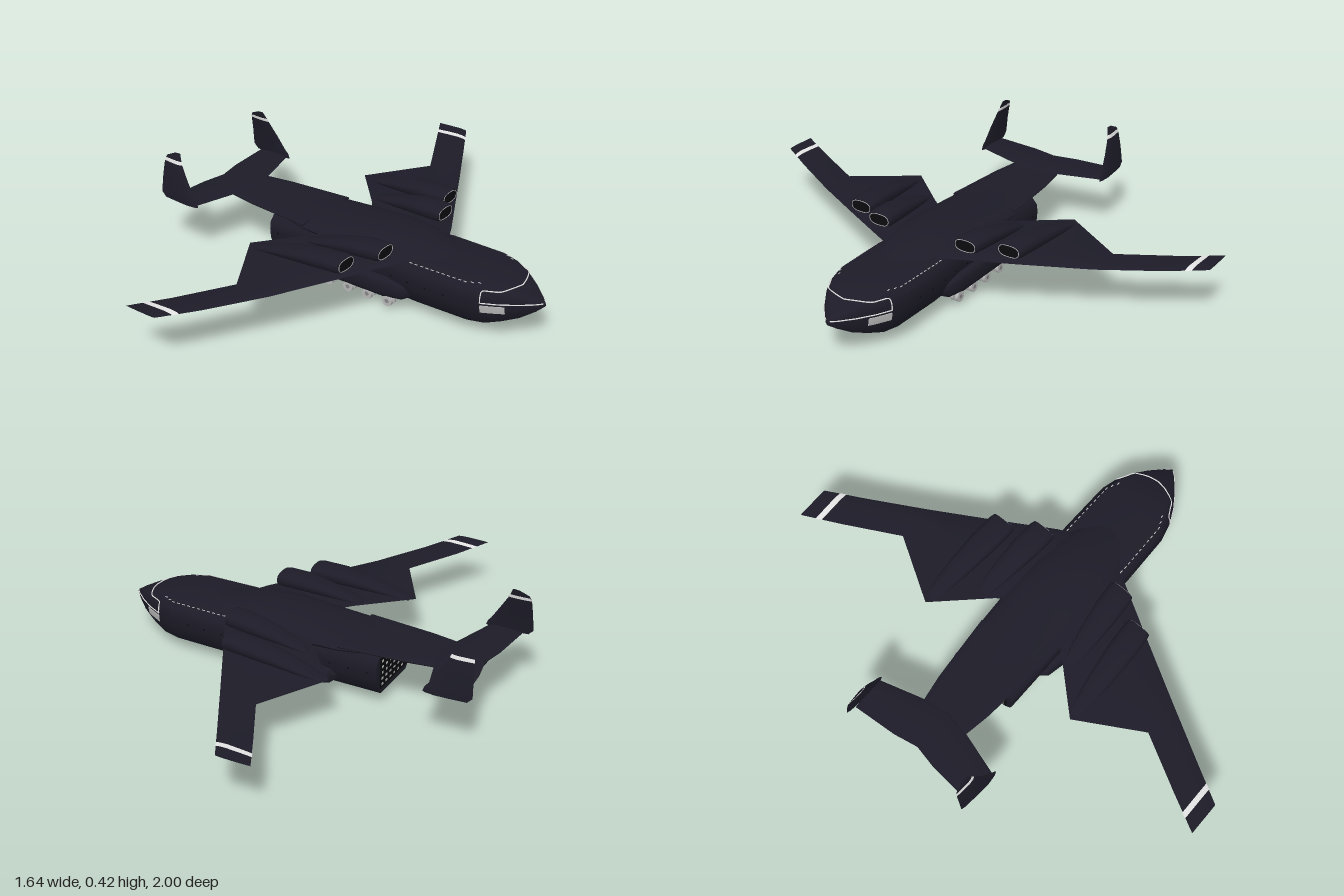
import * as THREE from 'three';
import { toCreasedNormals } from 'three/addons/utils/BufferGeometryUtils.js';

const mat = (name, color) => Object.assign(new THREE.MeshStandardMaterial({ color }), { name });
const V = (x, y, z) => new THREE.Vector3(x, y, z);
const { lerp } = THREE.MathUtils;

// Skin closed rings of points, cap both ends and turn all faces outwards
function loft(rings) {
  const n = rings[0].length, pts = rings.flat(), idx = [];
  for (let r = 0; r < rings.length - 1; r++)
    for (let i = 0; i < n; i++) {
      const a = r * n + i, b = r * n + (i + 1) % n;
      idx.push(a, b, a + n, b, b + n, a + n);
    }
  [0, rings.length - 1].forEach((r, end) => {
    const c = pts.length;
    pts.push(rings[r].reduce((s, p) => s.add(p), V(0, 0, 0)).divideScalar(n));
    for (let i = 0; i < n; i++) {
      const a = r * n + i, b = r * n + (i + 1) % n;
      idx.push(...(end ? [c, a, b] : [c, b, a]));
    }
  });
  let volume = 0;
  for (let i = 0; i < idx.length; i += 3)
    volume += pts[idx[i]].dot(pts[idx[i + 1]].clone().cross(pts[idx[i + 2]]));
  if (volume < 0) idx.reverse();
  const g = new THREE.BufferGeometry().setFromPoints(pts);
  g.setIndex(idx);
  return toCreasedNormals(g, 0.6);
}

// Rounded ring facing along x
function oval(x, y, z, hy, hz, power = 0.75, n = 24) {
  return Array.from({ length: n }, (_, i) => {
    const a = i / n * Math.PI * 2, c = Math.cos(a), s = Math.sin(a);
    return V(x, y + Math.sign(s) * Math.abs(s) ** power * hy, z + Math.sign(c) * Math.abs(c) ** power * hz);
  });
}

// Hull stations: x, half width, bottom, top; and the half cross-section
const STATIONS = [[-0.37, 0.15, 0.055, 0.225], [0.2, 0.155, 0.055, 0.235], [0.32, 0.165, 0.055, 0.238],
  [0.55, 0.16, 0.055, 0.238], [0.62, 0.142, 0.06, 0.232], [0.68, 0.112, 0.078, 0.22],
  [0.74, 0.072, 0.1, 0.198], [0.79, 0.03, 0.13, 0.175], [0.816, 0.003, 0.152, 0.16]];
const SECTION = [[0.6, 1], [0.84, 0.95], [0.97, 0.82], [1, 0.65], [0.98, 0.42], [0.9, 0.18], [0.72, 0]];

// Point on the hull side at a given x and height
function onHull(x, y, side, out = 0.002) {
  const k = Math.max(1, STATIONS.findIndex(s => s[0] >= x));
  const a = STATIONS[k - 1], b = STATIONS[k], t = (x - a[0]) / (b[0] - a[0]);
  const [, w, lo, hi] = a.map((v, i) => lerp(v, b[i], t));
  const f = THREE.MathUtils.clamp((y - lo) / (hi - lo), 0, 1);
  const j = Math.max(1, SECTION.findIndex(s => s[1] <= f));
  const p = SECTION[j - 1], q = SECTION[j];
  return V(x, y, side * (w * lerp(p[0], q[0], (f - p[1]) / (q[1] - p[1])) + out));
}

// Thin aerofoil ring across a chord, at a wing station
const foil = ([z, le, te, y, t]) => [[0, 0], [0.08, 0.6], [0.3, 1], [0.65, 0.6], [1, 0.05], [0.65, -0.5], [0.3, -0.7], [0.08, -0.5]]
  .map(([u, v]) => V(lerp(le, te, u), y + v * t / 2, z));

export function createModel() {
  const model = new THREE.Group();
  const paint = mat('midnight paint', 0x1c1b27), dark = mat('black', 0x0c0c10);
  const white = mat('white marking', 0xe4e4e4), grey = mat('light grey', 0xb8b8b8);
  const hubGrey = mat('hub grey', 0x858585);
  const add = (name, geometry, material = paint) => {
    const m = new THREE.Mesh(geometry, material);
    m.name = name;
    model.add(m);
    return m;
  };
  const box = (name, size, pos, material) => {
    const m = add(name, new THREE.BoxGeometry(...size), material);
    m.position.set(...pos);
    return m;
  };
  const line = (name, pts, material = white, closed = false, r = 0.0025) =>
    add(name, new THREE.TubeGeometry(new THREE.CatmullRomCurve3(pts, closed, 'centripetal'), 48, r, 5, closed), material);

  // Fuselage
  add('fuselage', loft(STATIONS.map(([x, w, lo, hi]) => {
    const half = SECTION.map(([u, v]) => V(x, lerp(lo, hi, v), u * w));
    return [...half, ...half.map(p => V(p.x, p.y, -p.z)).reverse()];
  })));

  // Dorsal fairing over the wing box
  add('dorsalFairing', loft([[-0.365, 0.237, 0.11], [-0.2, 0.246, 0.15], [0, 0.268, 0.16], [0.12, 0.28, 0.16],
    [0.24, 0.274, 0.15], [0.34, 0.256, 0.12], [0.42, 0.238, 0.08]]
    .map(([x, top, w]) => oval(x, 0.22, 0, top - 0.22, w, 1))));

  // Flat tail boom
  add('tailBoom', loft([[-0.2, 0.15], [-0.37, 0.135], [-0.48, 0.125], [-0.6, 0.105], [-0.74, 0.05]]
    .map(([x, w]) => oval(x, 0.231, 0, 0.009, w, 0.6))));

  // Tailplane in one piece
  add('tailplane', loft([[-0.285, -0.64, -0.78], [-0.1, -0.585, -0.765], [0, -0.56, -0.745], [0.1, -0.585, -0.765], [0.285, -0.64, -0.78]]
    .map(([z, le, te]) => foil([z, le, te, 0.238, 0.016]))));

  // Rear cargo wall with rows of lights
  box('cargoWall', [0.004, 0.13, 0.24], [-0.371, 0.145, 0], dark);
  for (let r = 0; r < 5; r++)
    for (let c = 0; c < 7; c++)
      box('cargoLight', [0.002, 0.009, 0.014], [-0.373, 0.095 + r * 0.025, (c - 3) * 0.034], grey);

  // Belly ramp and its strut
  box('bellyRamp', [0.12, 0.01, 0.21], [0.025, 0.033, 0], paint).rotation.z = -0.38;
  box('rampStrut', [0.008, 0.035, 0.008], [0.08, 0.035, 0], grey);

  // Paired wheels on a short leg
  const wheels = (name, x, y, z, r) => {
    box(name + 'Leg', [0.012, 0.04, 0.008], [x, y + 0.018, z], grey);
    for (const s of [-1, 1]) {
      const tyre = add(name, new THREE.CylinderGeometry(r, r, 0.013, 18), grey);
      tyre.rotation.x = Math.PI / 2;
      tyre.position.set(x, y, z + s * 0.011);
      const hub = add(name + 'Hub', new THREE.CylinderGeometry(r * 0.4, r * 0.4, 0.015, 10), hubGrey);
      hub.rotation.x = Math.PI / 2;
      hub.position.copy(tyre.position);
    }
  };
  wheels('noseWheel', 0.62, 0.045, 0, 0.02);

  const wingStations = [[0.08, 0.33, -0.03, 0.235, 0.04], [0.17, 0.285, -0.1, 0.234, 0.036], [0.37, 0.17, -0.285, 0.222, 0.026],
    [0.63, 0.022, -0.13, 0.211, 0.016], [0.85, -0.104, -0.25, 0.215, 0.012], [1, -0.19, -0.33, 0.226, 0.006]];
  // Fin stations: y, leading edge, trailing edge, z, thickness
  const finStations = [[0.235, -0.625, -0.8, 0.29, 0.02], [0.255, -0.632, -0.82, 0.289, 0.02], [0.27, -0.645, -0.82, 0.287, 0.018],
    [0.33, -0.683, -0.817, 0.28, 0.013], [0.39, -0.72, -0.813, 0.269, 0.01], [0.412, -0.73, -0.805, 0.263, 0.008], [0.43, -0.738, -0.765, 0.257, 0.005]];
  const finRing = ([y, le, te, z, t], s) => foil([0, le, te, 0, t]).map(p => V(p.x, y, s * (z + p.y)));

  for (const s of [-1, 1]) {
    const side = s > 0 ? 'left' : 'right';

    // Cranked swept wing with a tip stripe
    add(side + 'Wing', loft(wingStations.map(([z, ...rest]) => foil([s * z, ...rest]))));
    add(side + 'WingStripe', loft([[s * 0.923, -0.144, -0.291, 0.2204, 0.013], [s * 0.945, -0.157, -0.303, 0.222, 0.0125]].map(foil)), white);

    // Upright tail fin with a stripe
    add(side + 'Fin', loft(finStations.map(f => finRing(f, s))));
    add(side + 'FinStripe', loft([[0.389, -0.717, -0.815, 0.2692, 0.0135], [0.402, -0.723, -0.811, 0.266, 0.0125]].map(f => finRing(f, s))), white);

    // Two engine nacelles fading back into the wing: inlet x, y, z, length
    for (const [x, y, z, len] of [[0.235, 0.276, 0.2, 0.35], [0.16, 0.264, 0.345, 0.42]]) {
      add(side + 'Nacelle', loft([[0, 0.9, 0], [0.05, 1, 0], [0.3, 1, 0.004], [0.6, 0.75, 0.018], [0.85, 0.42, 0.034], [1, 0.1, 0.044]]
        .map(([t, k, drop]) => oval(x - t * len, y - drop, s * (z + t * 0.025), 0.03 * k, 0.054 * (0.35 + k * 0.65)))));
      add(side + 'Inlet', loft([oval(x - 0.002, y, s * z, 0.02, 0.04), oval(x + 0.002, y, s * z, 0.02, 0.04)]), dark);
      line(side + 'InletLip', oval(x + 0.001, y, s * z, 0.023, 0.044), grey, true, 0.0014);
    }

    // Landing gear sponson with four wheel pairs
    add(side + 'Sponson', loft([[-0.2, 0.2], [-0.17, 0.75], [-0.1, 1], [0.2, 1], [0.28, 0.8], [0.33, 0.2]]
      .map(([x, k]) => oval(x, 0.098, s * (0.125 + 0.025 * k), 0.042 * k, 0.032 * k))));
    for (const x of [-0.06, 0.035, 0.127, 0.222]) wheels(side + 'MainWheel', x, 0.047, s * 0.155, 0.022);

    // Small portholes along the side
    for (let x = -0.33; x < 0.5; x += 0.08) {
      const port = add(side + 'Porthole', new THREE.CylinderGeometry(0.004, 0.004, 0.004, 8), dark);
      port.rotation.x = Math.PI / 2;
      port.position.copy(onHull(x, 0.155, s, 0));
    }

    // Dashed marking along the forward shoulder
    for (let x = 0.31; x < 0.61; x += 0.024)
      box(side + 'ShoulderDash', [0.013, 0.002, 0.004], onHull(x, 0.228, s, 0).toArray(), grey);

    // Nose seam and windscreen frame
    line(side + 'NoseSeam', [0.62, 0.65, 0.68, 0.71, 0.74, 0.77, 0.79, 0.81].map(x => onHull(x, 0.163, s, 0.001)));
    line(side + 'WindscreenFrame', [onHull(0.62, 0.163, s), onHull(0.62, 0.19, s), onHull(0.622, 0.209, s),
      onHull(0.65, 0.21, s), onHull(0.68, 0.21, s), V(0.707, 0.213, s * 0.045), V(0.717, 0.21, 0)]);

    // Side cockpit window
    add(side + 'CockpitWindow', loft([0.62, 0.65, 0.68, 0.7].map(x =>
      [[0.122, 0.003], [0.138, 0.003], [0.153, 0.003], [0.153, -0.003], [0.138, -0.003], [0.122, -0.003]]
        .map(([y, out]) => onHull(x, y, s, out)))), grey);
  }
  return model;
}
